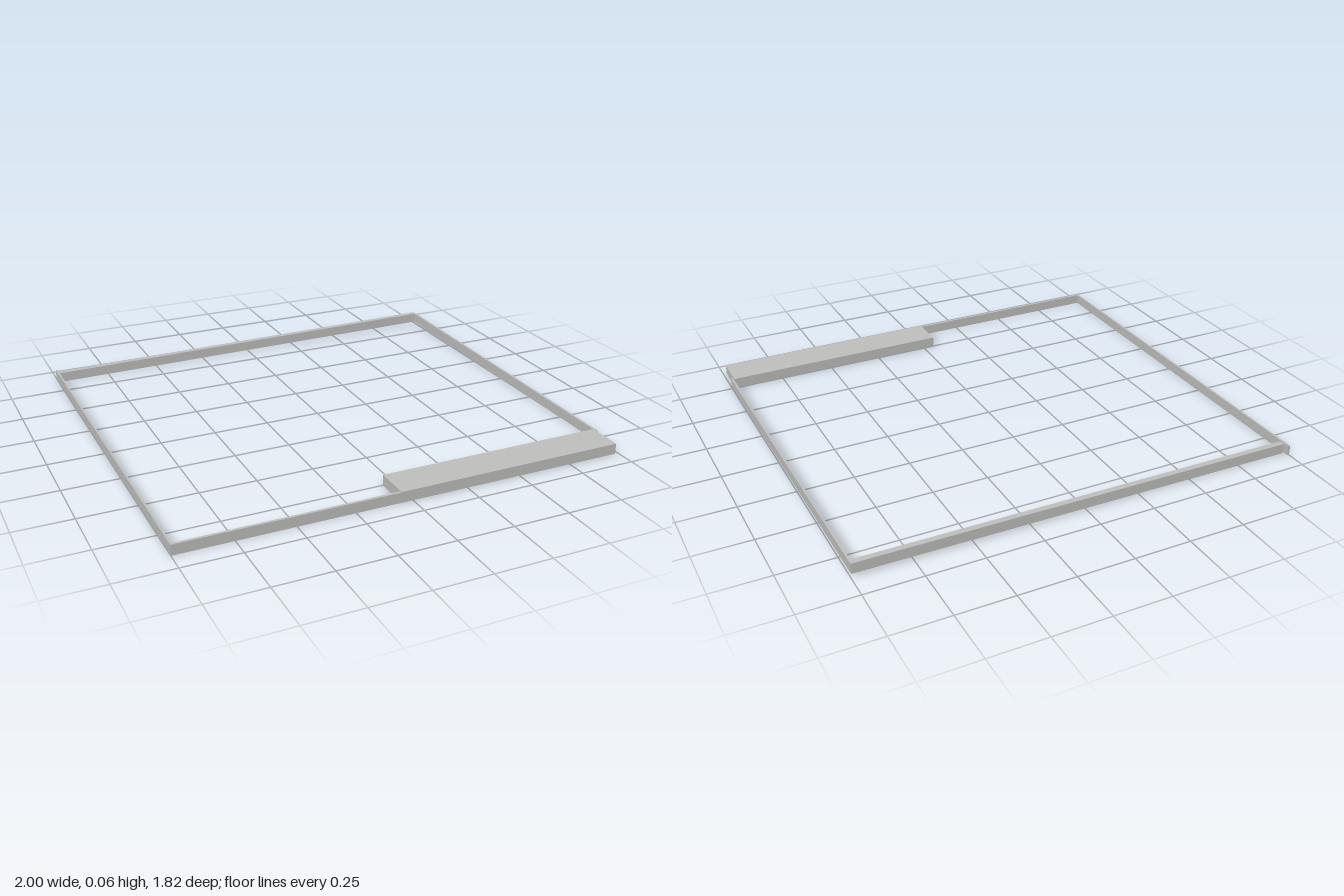
import * as THREE from 'three';

export function createModel() {
  const group = new THREE.Group();
  const grey = new THREE.MeshStandardMaterial({ color: 0xc0c0be });
  grey.name = 'light grey';

  // Box given by its limits; lift(x, z) raises its corners for sloping members
  function member(name, [x0, x1], [z0, z1], height, lift = () => 0) {
    const geo = new THREE.BoxGeometry(x1 - x0, height, z1 - z0);
    geo.translate((x0 + x1) / 2, height / 2, (z0 + z1) / 2);
    const p = geo.attributes.position;
    for (let i = 0; i < p.count; i++) p.setY(i, p.getY(i) + lift(p.getX(i), p.getZ(i)));
    geo.computeVertexNormals();
    const mesh = new THREE.Mesh(geo, grey);
    mesh.name = name;
    group.add(mesh);
  }

  const rise = 0.016; // height gained towards the back left corner

  // Level members
  member('frontBlock', [-0.052, 0.985], [0.75, 0.91], 0.048);
  member('frontStrip', [-1, -0.052], [0.898, 0.91], 0.046);
  member('rightStrip', [-1, -0.992], [-0.912, 0.91], 0.046);

  // Sloping members, meeting at the raised corner
  member('leftStrip', [0.988, 0.998], [-0.88, 0.765], 0.046,
    (x, z) => rise * (0.765 - z) / 1.645);
  member('backRail', [-0.985, 0.996], [-0.888, -0.862], 0.046,
    (x) => rise * (x + 0.985) / 1.981);

  return group;
}
